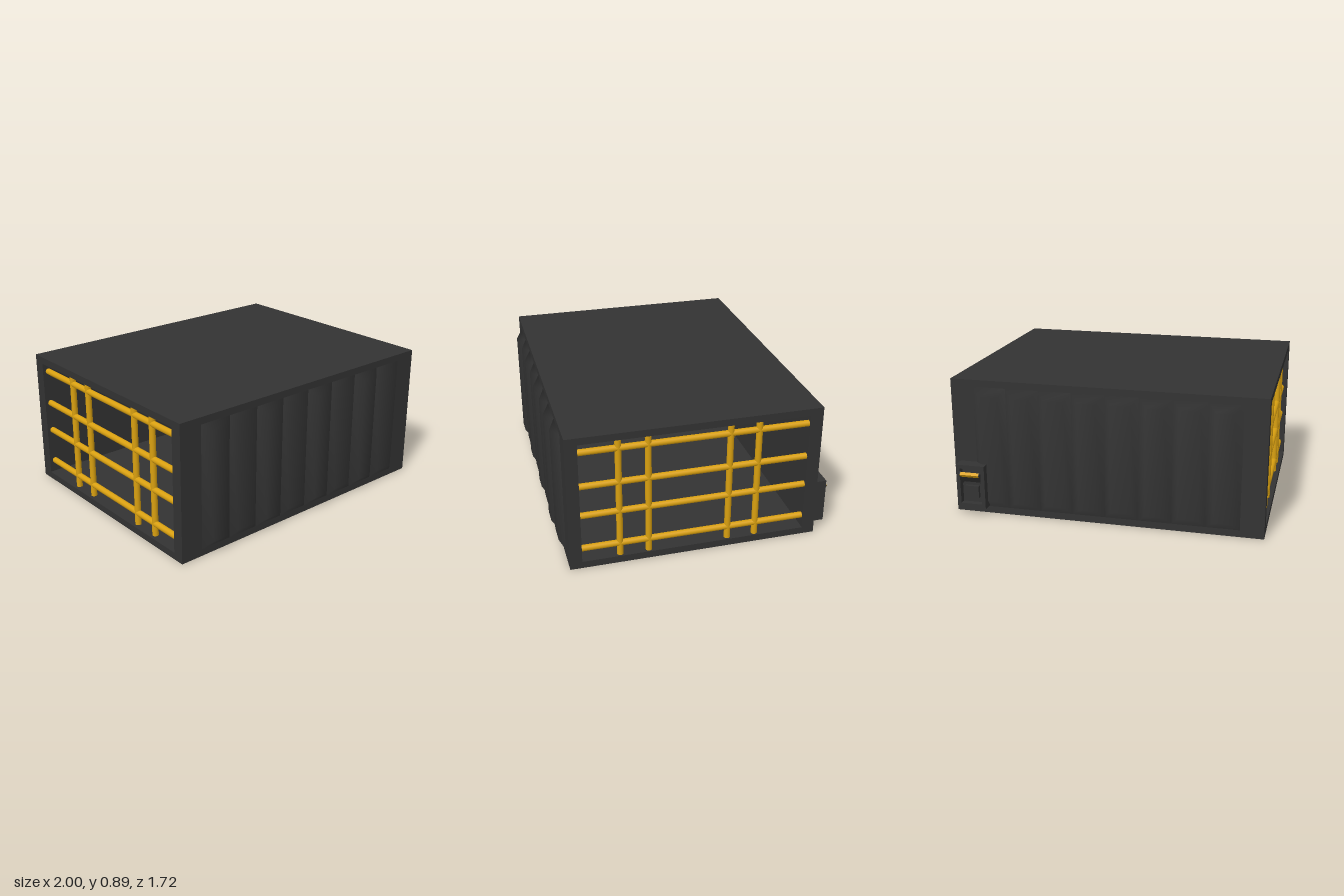
import * as THREE from 'three';

const dark = new THREE.MeshStandardMaterial({ color: 0x333333 });
const gold = new THREE.MeshStandardMaterial({ color: 0xd9a010 });

function add(parent, name, geometry, material, x = 0, y = 0, z = 0) {
  const mesh = new THREE.Mesh(geometry, material);
  mesh.name = name;
  mesh.position.set(x, y, z);
  parent.add(mesh);
  return mesh;
}

function rect(path, x0, y0, x1, y1) {
  path.moveTo(x0, y0).lineTo(x1, y0).lineTo(x1, y1).lineTo(x0, y1).closePath();
  return path;
}

// Rectangular ring extruded along +z
function ring(outer, inner, depth) {
  const shape = rect(new THREE.Shape(), ...outer);
  shape.holes.push(rect(new THREE.Path(), ...inner));
  return new THREE.ExtrudeGeometry(shape, { depth, bevelEnabled: false });
}

// Softly shaded raised panel: a wide base tapering to a flat top facing +z
function raisedPanel(w, h, topW, topH, depth) {
  const pos = [];
  for (const [a, b, z] of [[w, h, 0], [topW, topH, depth]])
    for (const [sx, sy] of [[-1, -1], [1, -1], [1, 1], [-1, 1]]) pos.push(sx * a / 2, sy * b / 2, z);
  const index = [4, 5, 6, 4, 6, 7];
  for (let i = 0; i < 4; i++) {
    const j = (i + 1) % 4;
    index.push(i, j, j + 4, i, j + 4, i + 4);
  }
  const g = new THREE.BufferGeometry();
  g.setAttribute('position', new THREE.Float32BufferAttribute(pos, 3));
  g.setIndex(index);
  g.computeVertexNormals();
  return g;
}

export function createModel() {
  const model = new THREE.Group();
  model.name = 'cage';

  // Hollow shell, open at both ends
  const shell = ring([-0.755, 0, 0.82, 0.89], [-0.675, 0.045, 0.745, 0.845], 2);
  shell.rotateY(-Math.PI / 2).translate(1, 0, 0);
  add(model, 'shell', shell, dark);

  // Alternating deep and shallow ribs on the front and back walls
  const ribs = new THREE.Group();
  ribs.name = 'ribs';
  model.add(ribs);
  const pitch = 0.2125;
  for (let i = 0; i < 8; i++) {
    const x = (i - 3.5) * pitch;
    const deep = i % 2 === 0;
    const g = raisedPanel(pitch, 0.8, deep ? 0.11 : 0.13, 0.7, deep ? 0.045 : 0.035);
    add(ribs, 'frontRib', g, dark, x, 0.445, 0.82);
    add(ribs, 'backRib', g, dark, x, 0.445, -0.755).rotation.y = Math.PI;
  }

  // Barred gates at both ends
  const across = new THREE.CylinderGeometry(0.02, 0.02, 1.44, 16).rotateX(Math.PI / 2);
  const upright = new THREE.CylinderGeometry(0.02, 0.02, 0.82, 16);
  for (const [name, x] of [['leftGate', 0.972], ['rightGate', -0.96]]) {
    const gate = new THREE.Group();
    gate.name = name;
    gate.position.x = x;
    model.add(gate);
    for (const y of [0.125, 0.355, 0.555, 0.782]) add(gate, 'crossBar', across, gold, 0, y, 0.035);
    for (const z of [0.505, 0.325, -0.18, -0.36]) add(gate, 'uprightBar', upright, gold, 0, 0.445, z);
  }

  // Control box on the back wall, with a recessed face and a tilted lever
  const box = new THREE.Group();
  box.name = 'controlBox';
  box.position.set(0.868, 0.2, -0.755);
  box.rotation.y = Math.PI;
  model.add(box);
  add(box, 'boxRim', ring([-0.095, -0.145, 0.095, 0.145], [-0.07, -0.115, 0.07, 0.12], 0.08), dark);
  add(box, 'boxFace', new THREE.BoxGeometry(0.15, 0.25, 0.04), dark, 0, 0, 0.02);
  add(box, 'socket', new THREE.BoxGeometry(0.09, 0.08, 0.025), dark, 0, -0.04, 0.05);
  const lever = new THREE.Group();
  lever.name = 'lever';
  lever.position.set(0, 0.03, 0.045);
  lever.rotation.x = 0.62;
  box.add(lever);
  add(lever, 'leverPlate', new THREE.BoxGeometry(0.12, 0.08, 0.012), dark, 0, 0.035, 0);
  for (const s of [-1, 1])
    add(lever, 'leverArm', new THREE.BoxGeometry(0.01, 0.09, 0.025), dark, s * 0.063, 0.035, 0);
  add(lever, 'leverGrip', new THREE.BoxGeometry(0.124, 0.022, 0.022), gold, 0, 0.07, 0.003);

  return model;
}
